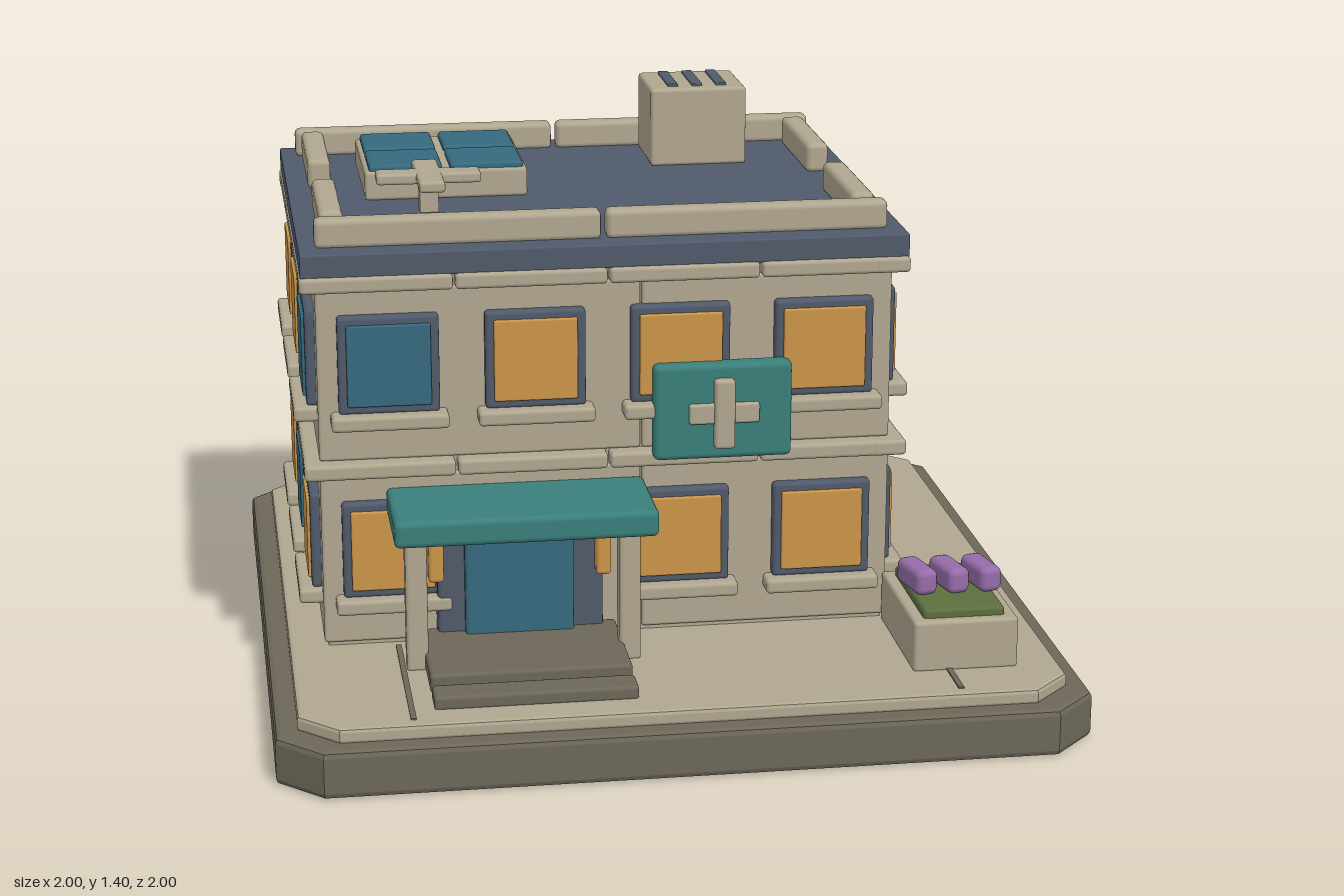
import * as THREE from 'three';
import { RoundedBoxGeometry } from 'three/addons/geometries/RoundedBoxGeometry.js';

const mat = (name, color) => Object.assign(new THREE.MeshStandardMaterial({ color }), { name });
const M = {
  stone: mat('warm stone', 0xb0a790),
  dark: mat('dark taupe', 0x6c6758),
  slate: mat('slate', 0x505a6b),
  teal: mat('teal', 0x3a7f7b),
  glass: mat('blue glass', 0x36697d),
  glow: mat('lit amber', 0xcc9549),
  green: mat('leaf green', 0x5c6e3d),
  purple: mat('flower purple', 0x966ca9),
};

// Softly bevelled box given by its extents
function box(parent, name, m, x0, x1, y0, y1, z0, z1, r = 0.01) {
  const w = x1 - x0, h = y1 - y0, d = z1 - z0;
  const rad = Math.min(r, w * 0.3, h * 0.3, d * 0.3);
  const geo = r > 0 ? new RoundedBoxGeometry(w, h, d, 2, rad) : new THREE.BoxGeometry(w, h, d);
  const mesh = new THREE.Mesh(geo, m);
  mesh.name = name;
  mesh.position.set((x0 + x1) / 2, (y0 + y1) / 2, (z0 + z1) / 2);
  parent.add(mesh);
  return mesh;
}

function group(parent, name) {
  const g = new THREE.Group();
  g.name = name;
  parent.add(g);
  return g;
}

// Square slab with cut corners and a bevelled rim
function slab(parent, name, m, half, cut, y0, y1, bevel) {
  const a = half - bevel, b = a - cut;
  const shape = new THREE.Shape([[a, -b], [a, b], [b, a], [-b, a], [-a, b], [-a, -b], [-b, -a], [b, -a]]
    .map(([x, y]) => new THREE.Vector2(x, y)));
  const geo = new THREE.ExtrudeGeometry(shape, {
    depth: y1 - y0 - 2 * bevel, bevelEnabled: true, bevelSize: bevel, bevelThickness: bevel, bevelSegments: 2,
  });
  geo.rotateX(-Math.PI / 2);
  const mesh = new THREE.Mesh(geo, m);
  mesh.name = name;
  mesh.position.y = y0 + bevel;
  parent.add(mesh);
}

// Framed window with sill; local z points out of the wall
function addWindow(parent, u, y, lit) {
  const g = group(parent, 'window');
  g.position.set(u, y, 0);
  box(g, 'windowFrame', M.slate, -0.125, 0.125, -0.125, 0.125, -0.02, 0.025);
  box(g, 'windowPane', lit ? M.glow : M.glass, -0.104, 0.104, -0.104, 0.104, 0, 0.033, 0.005);
  box(g, 'windowSill', M.stone, -0.145, 0.145, -0.16, -0.122, -0.02, 0.058);
}

// One side of the building: panels, trim bands and windows. 1 = lit, 0 = dark, null = none
function addWall(parent, name, x, z, angle, half, step, split, upper, lower) {
  const g = group(parent, name);
  g.position.set(x, 0, z);
  g.rotation.y = angle;
  for (const [y0, y1] of [[0.165, 0.605], [0.645, 1.085]]) {
    box(g, 'wallPanel', M.stone, -half, split - 0.002, y0, y1, -0.06, 0, 0.008);
    box(g, 'wallPanel', M.stone, split + 0.002, half, y0, y1, -0.06, 0, 0.008);
  }
  const n = upper.length, end = half + 0.042, len = 2 * end / n;
  for (const y of [0.605, 1.083]) {
    for (let i = 0; i < n; i++) {
      box(g, 'trimBand', M.stone, -end + i * len + 0.003, -end + (i + 1) * len - 0.003, y, y + 0.04, -0.05, 0.038);
    }
  }
  [[upper, 0.895], [lower, 0.415]].forEach(([row, y]) => row.forEach((lit, i) => {
    if (lit !== null) addWindow(g, (i - (n - 1) / 2) * step, y, lit);
  }));
}

export function createModel() {
  const model = new THREE.Group();
  model.name = 'clinic';

  // Ground
  slab(model, 'base', M.dark, 1, 0.1, 0, 0.12, 0.015);
  slab(model, 'pavement', M.stone, 0.945, 0.09, 0.115, 0.155, 0.01);
  box(model, 'pavingJoint', M.dark, -0.678, -0.664, 0.15, 0.159, 0.43, 0.91, 0);
  box(model, 'pavingJoint', M.dark, 0.658, 0.672, 0.15, 0.159, 0.43, 0.91, 0);

  // Building
  const cx = -0.135, cz = -0.16, hw = 0.72, hd = 0.57;
  box(model, 'buildingCore', M.stone, cx - hw + 0.01, cx + hw - 0.01, 0.15, 1.12, cz - hd + 0.01, cz + hd - 0.01, 0);
  addWall(model, 'frontWall', cx, cz + hd, 0, hw, 0.363, 0.085, [0, 1, 1, 1], [1, null, 1, 1]);
  addWall(model, 'backWall', cx, cz - hd, Math.PI, hw, 0.363, -0.085, [1, 0, 1, 1], [0, 1, 1, 1]);
  addWall(model, 'leftWall', cx + hw, cz, Math.PI / 2, hd, 0.38, -0.06, [1, 1, 0], [1, 1, 1]);
  addWall(model, 'rightWall', cx - hw, cz, -Math.PI / 2, hd, 0.38, 0.06, [1, 1, 0], [1, 0, 1]);

  // Roof and parapets
  const roof = group(model, 'roof');
  box(roof, 'roofSlab', M.slate, -0.89, 0.622, 1.12, 1.18, -0.768, 0.437, 0.005);
  for (const [z0, z1] of [[0.315, 0.37], [-0.715, -0.66]]) {
    box(roof, 'parapet', M.stone, -0.85, -0.143, 1.175, 1.25, z0, z1, 0.015);
    box(roof, 'parapet', M.stone, -0.13, 0.58, 1.175, 1.25, z0, z1, 0.015);
  }
  for (const [x0, x1] of [[-0.835, -0.775], [0.5, 0.56]]) {
    box(roof, 'parapet', M.stone, x0, x1, 1.175, 1.255, -0.635, -0.27, 0.015);
    box(roof, 'parapet', M.stone, x0, x1, 1.175, 1.255, -0.065, 0.3, 0.015);
  }

  // Skylight
  const skylight = group(roof, 'skylight');
  box(skylight, 'skylightBase', M.stone, -0.695, -0.272, 1.178, 1.255, -0.522, -0.11);
  for (const x of [-0.683, -0.472]) {
    for (const z of [-0.512, -0.305]) {
      box(skylight, 'skylightPane', M.glass, x, x + 0.19, 1.24, 1.27, z, z + 0.187);
    }
  }

  // Roof cross on a short post
  const roofCross = group(roof, 'roofCross');
  box(roofCross, 'crossBar', M.stone, -0.675, -0.408, 1.255, 1.284, -0.018, 0.05);
  box(roofCross, 'crossBar', M.stone, -0.574, -0.508, 1.255, 1.285, -0.115, 0.15);
  box(roofCross, 'crossPost', M.stone, -0.565, -0.517, 1.175, 1.26, -0.008, 0.04, 0);

  // Ventilation unit
  const vent = group(roof, 'ventUnit');
  box(vent, 'ventBody', M.stone, 0.097, 0.357, 1.178, 1.39, -0.64, -0.397);
  for (const x of [0.162, 0.228, 0.294]) box(vent, 'ventSlot', M.slate, x - 0.014, x + 0.014, 1.385, 1.397, -0.615, -0.43, 0.003);

  // Entrance
  const entrance = group(model, 'entrance');
  box(entrance, 'doorFrame', M.slate, -0.572, -0.155, 0.155, 0.51, 0.38, 0.465);
  box(entrance, 'door', M.glass, -0.505, -0.232, 0.19, 0.487, 0.42, 0.49);
  box(entrance, 'canopy', M.teal, -0.692, -0.044, 0.502, 0.57, 0.4, 0.682, 0.015);
  for (const x of [-0.635, -0.105]) box(entrance, 'canopyPost', M.stone, x - 0.027, x + 0.027, 0.15, 0.51, 0.545, 0.6);
  for (const x of [-0.578, -0.158]) box(entrance, 'wallLamp', M.glow, x - 0.019, x + 0.019, 0.345, 0.45, 0.44, 0.505);
  box(entrance, 'upperStep', M.dark, -0.617, -0.12, 0.15, 0.2, 0.43, 0.748);
  box(entrance, 'lowerStep', M.dark, -0.617, -0.12, 0.15, 0.187, 0.775, 0.858);

  // Wall sign
  const sign = group(model, 'sign');
  box(sign, 'signBoard', M.teal, -0.027, 0.322, 0.627, 0.874, 0.42, 0.475, 0.015);
  box(sign, 'signCross', M.stone, 0.06, 0.238, 0.722, 0.774, 0.465, 0.488);
  box(sign, 'signCross', M.stone, 0.123, 0.175, 0.658, 0.838, 0.465, 0.498);

  // Planter with flowers
  const planter = group(model, 'planter');
  box(planter, 'planterBox', M.stone, 0.574, 0.838, 0.15, 0.283, 0.41, 0.787);
  box(planter, 'foliage', M.green, 0.603, 0.808, 0.25, 0.305, 0.435, 0.762);
  for (const x of [0.623, 0.705, 0.787]) {
    const flower = box(planter, 'flower', M.purple, x - 0.029, x + 0.029, 0.303, 0.368, 0.532, 0.662, 0.017);
    flower.rotation.y = 0.22;
  }
  return model;
}
